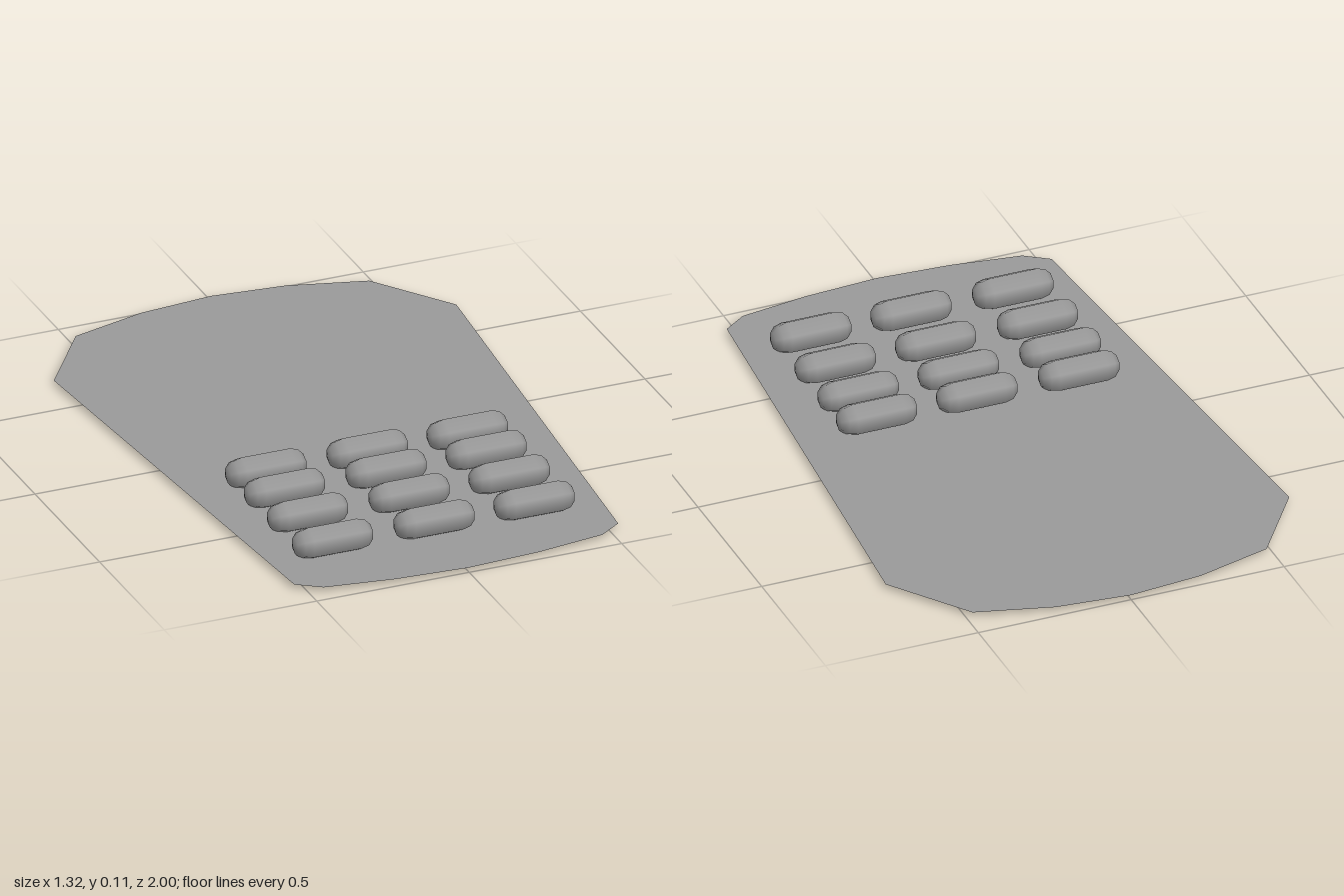
import * as THREE from 'three';

export function createModel() {
  const group = new THREE.Group();
  const material = new THREE.MeshStandardMaterial({ color: 0x9a9a9a, side: THREE.DoubleSide });

  // Flat tapered base plate: half outline as (x, z), mirrored across x = 0
  const half = [[0, -1], [0.237, -0.977], [0.481, -0.909], [0.66, -0.657],
    [0.531, 0.9], [0.457, 0.952], [0.235, 0.985], [0, 1]];
  const mirrored = half.slice(1, -1).reverse().map(([x, z]) => [-x, z]);
  const outline = [...half, ...mirrored].map(([x, z]) => new THREE.Vector2(x, -z));
  const plate = new THREE.Mesh(new THREE.ShapeGeometry(new THREE.Shape(outline)), material);
  plate.geometry.rotateX(-Math.PI / 2);
  plate.position.y = 0.016;
  plate.name = 'basePlate';
  group.add(plate);

  // Four rows of three six-sided capsule keys, sunk slightly through the plate
  const radius = 0.053;
  const keyGeometry = new THREE.CapsuleGeometry(radius, 0.155, 3, 6);
  keyGeometry.rotateZ(Math.PI / 2);
  const keys = new THREE.Group();
  keys.name = 'keys';
  for (const z of [0.211, 0.356, 0.535, 0.728]) {
    for (const x of [-0.333, 0, 0.328]) {
      const key = new THREE.Mesh(keyGeometry, material);
      key.position.set(x, radius, z);
      key.name = 'key';
      keys.add(key);
    }
  }
  group.add(keys);
  return group;
}
